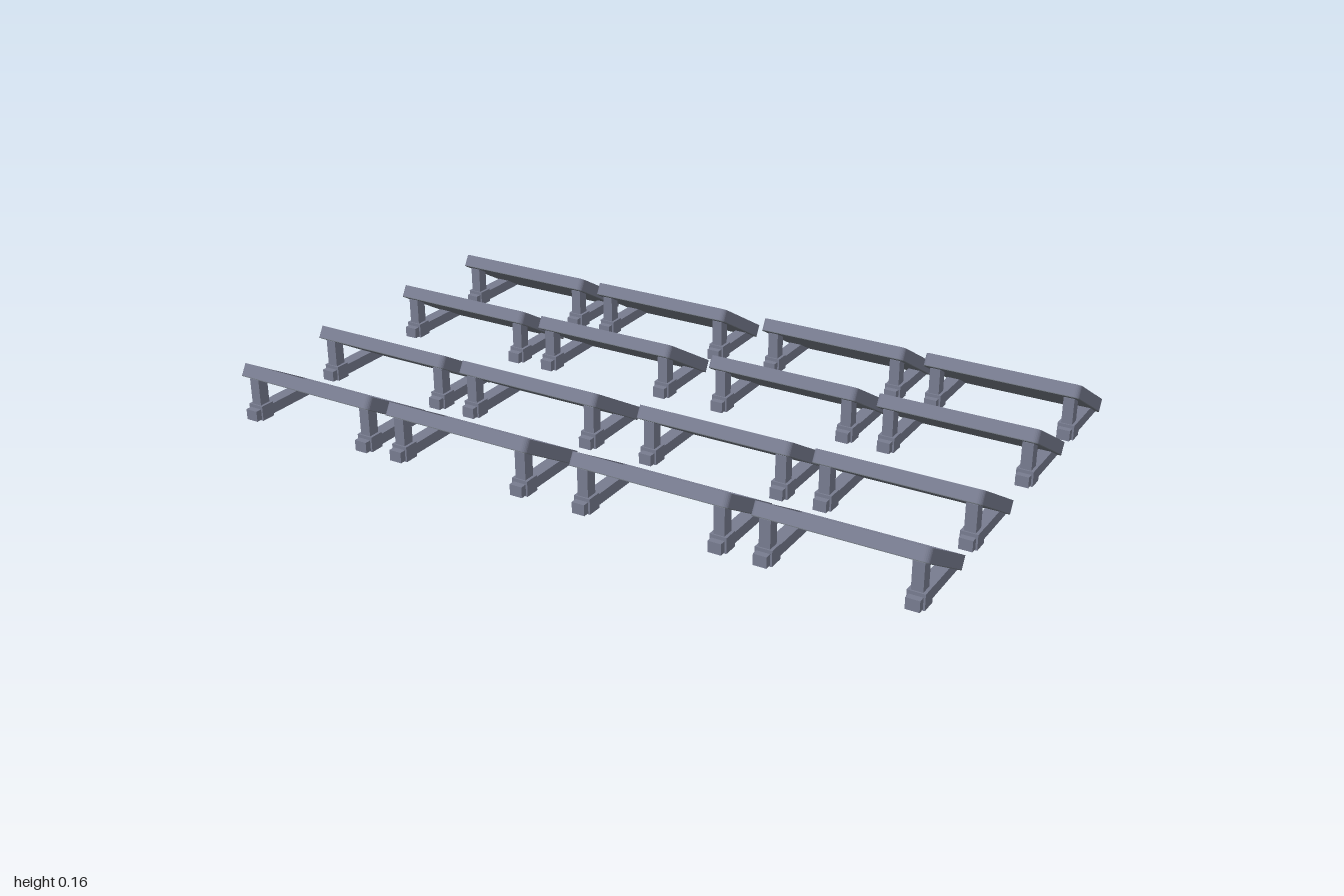
import * as THREE from 'three';

const metal = new THREE.MeshStandardMaterial({ color: 0x777b8f });
metal.name = 'grey metal';
const backing = new THREE.MeshStandardMaterial({ color: 0x676d76 });
backing.name = 'slate backing';
const blue = new THREE.MeshStandardMaterial({ color: 0x6672bb });
blue.name = 'blue cell';

const TILT = -Math.PI / 6;
const W = 0.44, L = 0.261, T = 0.036, PITCH = 0.0615;

// Rounded rectangle centred on the origin
function roundRect(w, h, r, Target = THREE.Shape) {
  const s = new Target(), x = w / 2, y = h / 2, q = Math.PI / 2;
  s.moveTo(-x + r, -y);
  s.lineTo(x - r, -y);
  s.absarc(x - r, -y + r, r, -q, 0);
  s.lineTo(x, y - r);
  s.absarc(x - r, y - r, r, 0, q);
  s.lineTo(-x + r, y);
  s.absarc(-x + r, y - r, r, q, 2 * q);
  s.lineTo(-x, -y + r);
  s.absarc(-x + r, -y + r, r, 2 * q, 3 * q);
  return s;
}

// Flat slab lying in the xz plane, its bottom at height y
function slab(shape, depth, y) {
  return new THREE.ExtrudeGeometry(shape, { depth, bevelEnabled: false, curveSegments: 3 })
    .rotateX(-Math.PI / 2).translate(0, y, 0);
}

function ring(w, h, r, border) {
  const s = roundRect(w, h, r);
  s.holes.push(roundRect(w - 2 * border, h - 2 * border, r * 0.5, THREE.Path));
  return s;
}

const rimGeo = slab(ring(W, L, 0.016, 0.022), T - 0.002, -T / 2 + 0.002);
const backGeo = slab(roundRect(W, L, 0.016), 0.002, -T / 2);
const bedGeo = slab(roundRect(W - 0.044, L - 0.044, 0.008), T - 0.007, -T / 2 + 0.002);
const cellGeo = slab(roundRect(0.054, 0.054, 0.018), 0.0015, T / 2 - 0.005);
const railGeo = new THREE.BoxGeometry(0.036, 0.03, 0.226);
const socketGeo = new THREE.BoxGeometry(0.046, 0.042, 0.042);
const postGeo = new THREE.BoxGeometry(0.03, 0.116, 0.033);

function add(parent, name, geo, mat, x = 0, y = 0, z = 0) {
  const m = new THREE.Mesh(geo, mat);
  m.name = name;
  m.position.set(x, y, z);
  parent.add(m);
}

function makePanel() {
  const unit = new THREE.Group();
  unit.name = 'solarPanel';

  // Tilted tray with its cells
  const tray = new THREE.Group();
  tray.name = 'tray';
  tray.position.y = 0.081;
  tray.rotation.x = TILT;
  add(tray, 'rim', rimGeo, metal);
  add(tray, 'backPlate', backGeo, backing);
  add(tray, 'cellBed', bedGeo, backing);
  for (let c = 0; c < 6; c++)
    for (let r = 0; r < 3; r++)
      add(tray, 'cell', cellGeo, blue, (c - 2.5) * PITCH, 0, (r - 1) * PITCH);
  unit.add(tray);

  // Stand: a floor rail, socket and post on each side
  for (const side of [-1, 1]) {
    const x = side * 0.19;
    add(unit, 'floorRail', railGeo, metal, x, 0.018, 0.009);
    add(unit, 'socket', socketGeo, metal, x, 0.021, 0.083);
    add(unit, 'post', postGeo, metal, x, 0.058, 0.083);
  }
  return unit;
}

export function createModel() {
  const model = new THREE.Group();
  model.name = 'solarField';
  // Four rows of four panels
  for (const z of [-0.5, -0.188, 0.188, 0.5])
    for (const x of [-0.78, -0.285, 0.28, 0.78]) {
      const p = makePanel();
      p.position.set(x, 0, z);
      model.add(p);
    }
  return model;
}
